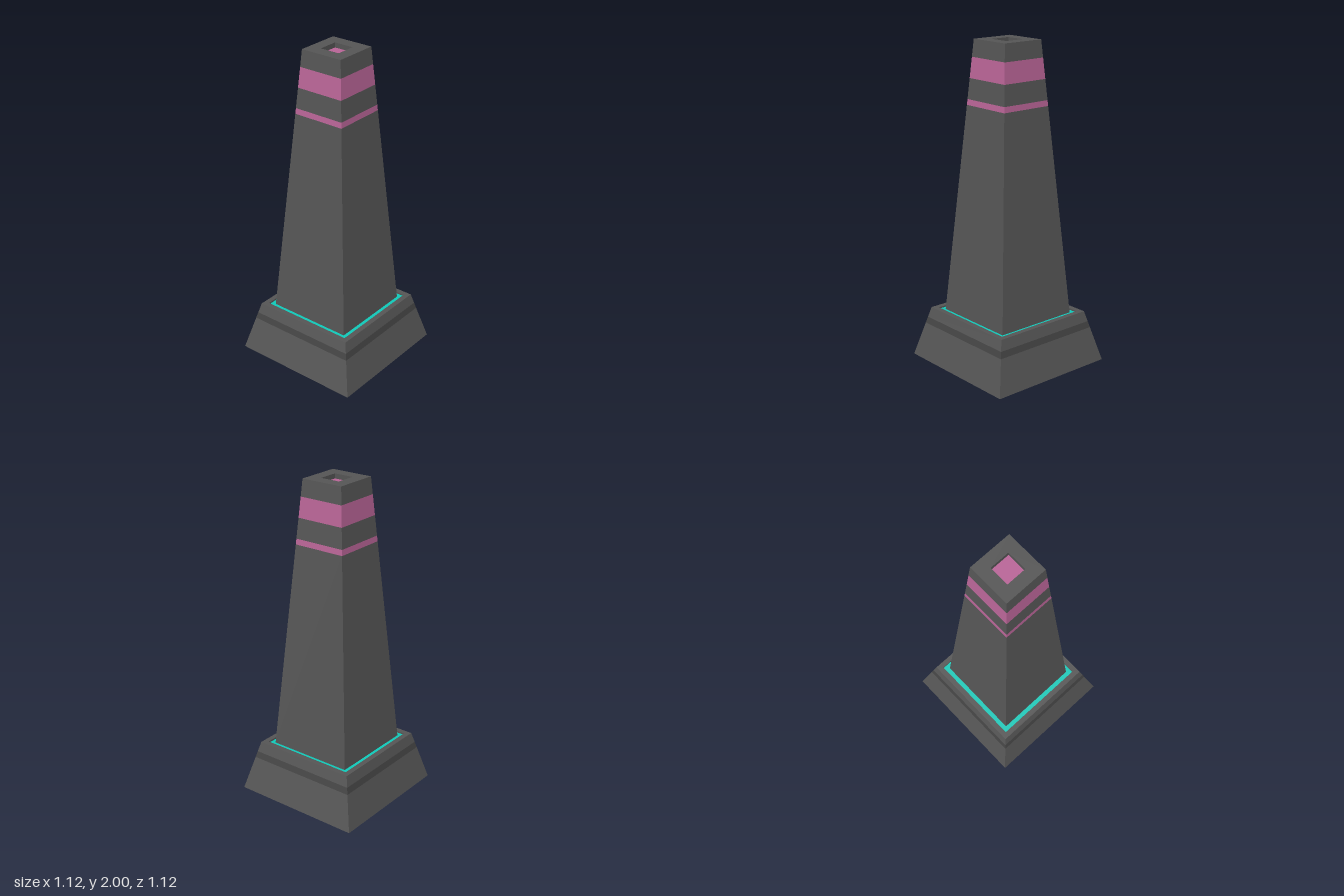
import * as THREE from 'three';

const paint = (color) => new THREE.MeshStandardMaterial({ color, flatShading: true, side: THREE.DoubleSide });

export function createModel() {
  const body = paint(0x555555), dark = paint(0x444444), pink = paint(0xb86496), teal = paint(0x10c8b8);
  const model = new THREE.Group();
  model.name = 'obelisk';
  // the whole tower stands turned on its vertical axis
  model.rotation.y = Math.atan2(0.2, 0.56);

  const add = (name, geometry, material, y) => {
    const flat = geometry.toNonIndexed();
    flat.computeVertexNormals();
    const mesh = new THREE.Mesh(flat, material);
    mesh.name = name;
    mesh.position.y = y;
    model.add(mesh);
  };
  // four sloping sides between two heights; radii run to the corners
  const sides = (name, y0, y1, r0, r1, material) =>
    add(name, new THREE.CylinderGeometry(r1, r0, y1 - y0, 4, 1, true), material, (y0 + y1) / 2);
  // flat square ring, or a full square when inner is 0
  const plate = (name, y, inner, outer, material, down = false) =>
    add(name, new THREE.RingGeometry(inner, outer, 4, 1).rotateX(down ? Math.PI / 2 : -Math.PI / 2), material, y);
  // one straight taper cut into colour bands at the given heights
  const taper = (name, heights, r0, r1, materials) => {
    const y0 = heights[0], span = heights[heights.length - 1] - y0;
    const radius = (y) => r0 + (r1 - r0) * (y - y0) / span;
    materials.forEach((m, i) => sides(name + (m === body ? 'Wall' : 'Band') + i,
      heights[i], heights[i + 1], radius(heights[i]), radius(heights[i + 1]), m));
  };

  // plinth
  plate('plinthUnderside', 0, 0, 0.595, body, true);
  taper('plinth', [0, 0.215, 0.255, 0.32], 0.595, 0.477, [body, dark, body]);
  plate('plinthTop', 0.32, 0.43, 0.477, body);

  // shallow light channel round the shaft
  sides('channelWall', 0.31, 0.32, 0.43, 0.43, body);
  plate('channelLight', 0.31, 0.385, 0.43, teal);

  // shaft with two bands near the top
  taper('shaft', [0.31, 1.61, 1.645, 1.77, 1.895, 2], 0.388, 0.196, [body, pink, body, pink, body]);

  // cap with a sunken light
  plate('capRim', 2, 0.09, 0.196, body);
  sides('capRecessWall', 1.97, 2, 0.09, 0.09, body);
  plate('capLight', 1.97, 0, 0.09, pink);

  const root = new THREE.Group();
  root.add(model);
  return root;
}
